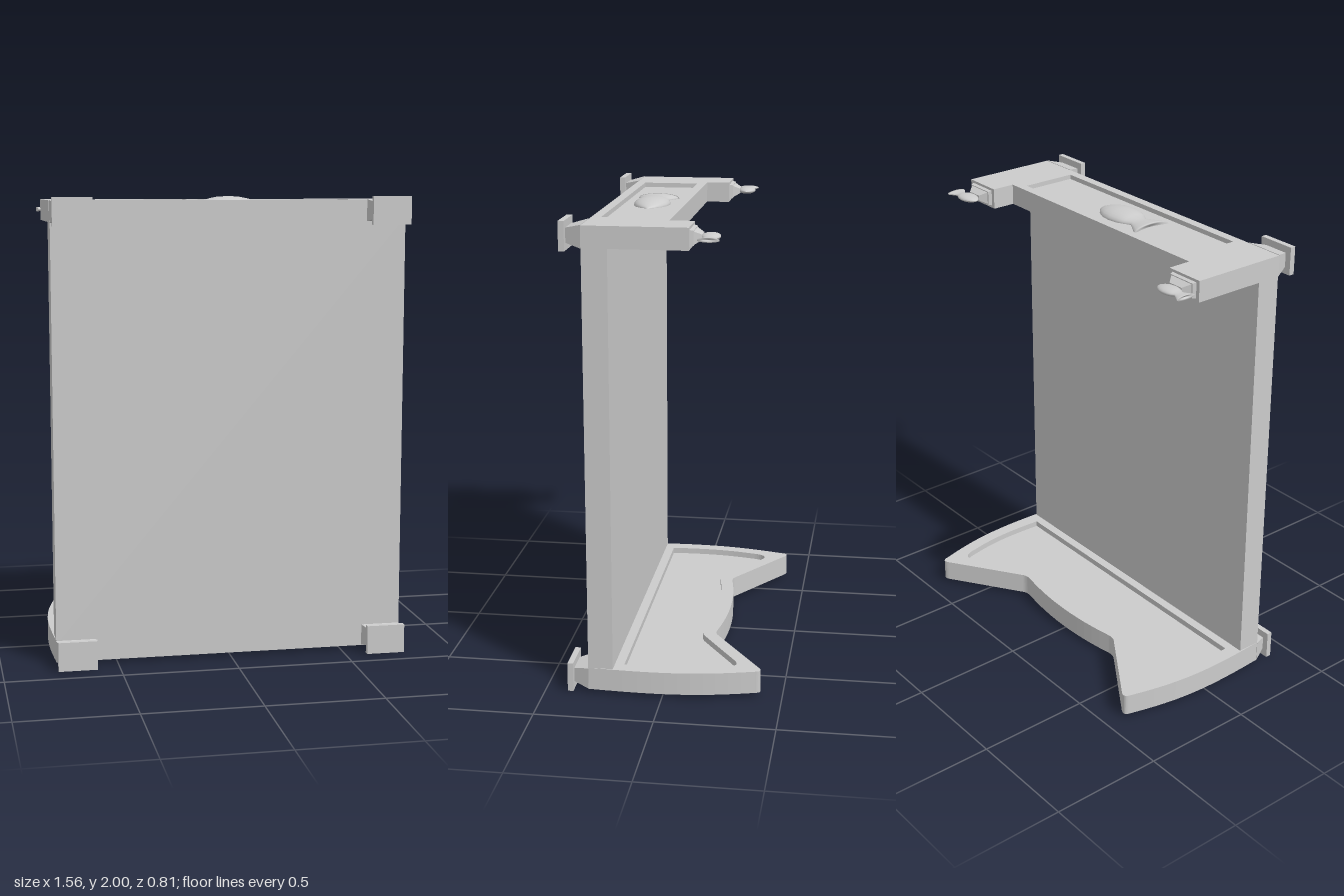
import * as THREE from 'three';

const mat = new THREE.MeshStandardMaterial({ color: 0xcccccc });

function add(parent, name, geo, x = 0, y = 0, z = 0) {
  const m = new THREE.Mesh(geo, mat);
  m.name = name;
  m.position.set(x, y, z);
  parent.add(m);
  return m;
}

// Extrude a shape drawn in (x, -z) upwards along +y, starting at height y
function slab(shape, y, depth) {
  const g = new THREE.ExtrudeGeometry(shape, { depth, bevelEnabled: false, curveSegments: 12 });
  return g.rotateX(-Math.PI / 2).translate(0, y, 0);
}

// Box along z whose x / y size changes from z0 to z1
function frustum(w0, h0, z0, w1, h1, z1) {
  const g = new THREE.BoxGeometry(1, 1, 1);
  const p = g.attributes.position;
  for (let i = 0; i < p.count; i++) {
    const end = p.getZ(i) > 0;
    p.setXYZ(i, p.getX(i) * (end ? w1 : w0), p.getY(i) * (end ? h1 : h0), end ? z1 : z0);
  }
  g.computeVertexNormals();
  return g;
}

// Symmetric outline with two peaks and a gently arched middle
function peaked(path, o) {
  const { base: b, bulge: [c1, c2], side: s, tip: t, peak: k, v0, vc, v1, crest } = o;
  path.moveTo(-b[0], b[1]);
  path.lineTo(b[0], b[1]);
  path.bezierCurveTo(...c1, ...c2, ...s);
  path.quadraticCurveTo(...t, ...k);
  path.lineTo(...v0);
  path.quadraticCurveTo(...vc, ...v1);
  path.quadraticCurveTo(0, crest, -v1[0], v1[1]);
  path.quadraticCurveTo(-vc[0], vc[1], -v0[0], v0[1]);
  path.lineTo(-k[0], k[1]);
  path.quadraticCurveTo(-t[0], t[1], -s[0], s[1]);
  path.bezierCurveTo(-c2[0], c2[1], -c1[0], c1[1], -b[0], b[1]);
  return path;
}

// Flattened fish lying in the xz plane, nose towards +x
function fishGeometry(thick) {
  const profile = [
    [0, -0.158], [0.05, -0.166], [0.092, -0.175], [0.088, -0.162], [0.065, -0.125], [0.044, -0.09],
    [0.06, -0.06], [0.073, -0.03], [0.079, 0.02], [0.073, 0.065], [0.055, 0.105], [0.03, 0.135], [0, 0.15],
  ].map(([r, x]) => new THREE.Vector2(r, x));
  const g = new THREE.LatheGeometry(profile, 24).rotateZ(-Math.PI / 2);
  const p = g.attributes.position;
  for (let i = 0; i < p.count; i++) {
    // the tail is thinner than the body
    const tail = THREE.MathUtils.smoothstep(-p.getX(i), 0.06, 0.16);
    p.setY(i, p.getY(i) * thick * (1 - 0.45 * tail));
  }
  g.computeVertexNormals();
  return g;
}

export function createModel() {
  const bed = new THREE.Group();
  bed.name = 'bed';

  // Mattress platform
  add(bed, 'platform', new THREE.BoxGeometry(1.53, 1.82, 0.105), 0, 1.0, 0.2625);

  // Headboard: backing plate plus a raised rim around the recess
  const headShape = () => peaked(new THREE.Shape(), {
    base: [0.765, -0.315], bulge: [[0.785, 0], [0.775, 0.15]], side: [0.707, 0.385],
    tip: [0.7, 0.418], peak: [0.67, 0.4], v0: [0.35, 0.185], vc: [0.328, 0.17], v1: [0.295, 0.177], crest: 0.232,
  });
  const headHole = peaked(new THREE.Path(), {
    base: [0.71, -0.17], bulge: [[0.72, 0], [0.715, 0.1]], side: [0.685, 0.23],
    tip: [0.67, 0.325], peak: [0.61, 0.29], v0: [0.365, 0.128], vc: [0.34, 0.112], v1: [0.305, 0.119], crest: 0.173,
  });
  const headboard = new THREE.Group();
  headboard.name = 'headboard';
  bed.add(headboard);
  add(headboard, 'headboardPanel', slab(headShape(), 0.015, 0.07));
  const rim = headShape();
  rim.holes.push(headHole);
  add(headboard, 'headboardRim', slab(rim, 0.085, 0.027));

  // Footboard: posts and rail in one outline, with a recessed outer panel
  const footShape = () => new THREE.Shape([
    [-0.768, -0.315], [0.768, -0.315], [0.768, 0.113], [0.592, 0.113],
    [0.592, 0.01], [-0.592, 0.01], [-0.592, 0.113], [-0.768, 0.113],
  ].map(([x, y]) => new THREE.Vector2(x, y)));
  const footHole = new THREE.Path([[-0.54, -0.275], [-0.54, -0.03], [0.54, -0.03], [0.54, -0.275]]
    .map(([x, y]) => new THREE.Vector2(x, y)));
  const footboard = new THREE.Group();
  footboard.name = 'footboard';
  bed.add(footboard);
  add(footboard, 'footboardPanel', slab(footShape(), 1.895, 0.07));
  const frame = footShape();
  frame.holes.push(footHole);
  add(footboard, 'footboardFrame', slab(frame, 1.965, 0.02));

  // Fish relief on the footboard panel
  add(footboard, 'fishRelief', fishGeometry(0.44), 0, 1.965, 0.152);

  for (const side of [-1, 1]) {
    // Tapered feet with square pads
    for (const y of [0.063, 1.94]) {
      const foot = new THREE.Group();
      foot.name = 'foot';
      foot.position.set(side * 0.68, y, 0);
      bed.add(foot);
      add(foot, 'footTaper', frustum(0.174, 0.094, 0.314, 0.112, 0.06, 0.382));
      add(foot, 'footPad', new THREE.BoxGeometry(0.168, y < 1 ? 0.126 : 0.12, 0.024), 0, 0, 0.393);
    }
    // Fish finials on the footboard posts
    const finial = new THREE.Group();
    finial.name = 'finial';
    finial.position.set(side * 0.68, 1.94, 0);
    bed.add(finial);
    add(finial, 'finialBase', frustum(0.13, 0.06, -0.128, 0.142, 0.068, -0.112));
    add(finial, 'finialNeck', frustum(0.07, 0.022, -0.158, 0.12, 0.054, -0.127));
    const fish = add(finial, 'finialFish', fishGeometry(0.4), side * 0.012, 0, -0.19);
    fish.scale.setScalar(0.49);
    if (side > 0) fish.rotation.y = Math.PI;
  }
  return bed;
}
